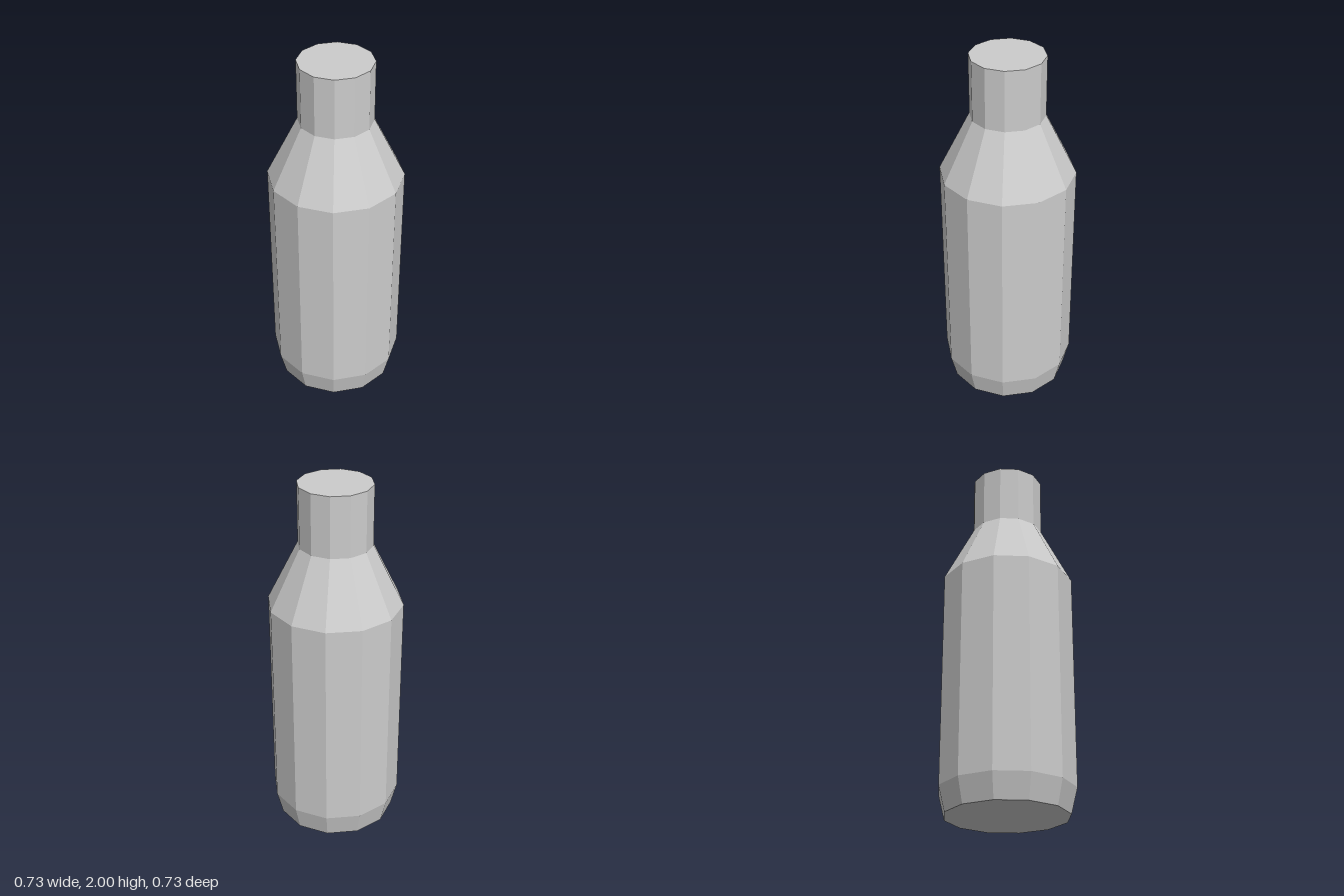
import * as THREE from 'three';

const SIDES = 12;

export function createModel() {
  const model = new THREE.Group();
  model.name = 'bottle';

  const grey = new THREE.MeshStandardMaterial({ color: 0xcccccc, flatShading: true });
  grey.name = 'grey';

  // Each part is a faceted ring profile of [radius, height], from bottom to top
  const addPart = (name, profile) => {
    const points = profile.map(([r, y]) => new THREE.Vector2(r, y));
    const mesh = new THREE.Mesh(new THREE.LatheGeometry(points, SIDES), grey);
    mesh.name = name;
    model.add(mesh);
  };

  // Closed bottom with a tapered foot
  addPart('base', [[0, 0], [0.333, 0], [0.367, 0.137]]);
  // Straight wall
  addPart('body', [[0.367, 0.137], [0.367, 1.333]]);
  // Sloping shoulder
  addPart('shoulder', [[0.367, 1.333], [0.2, 1.667]]);
  // Narrow neck with a flat closed top
  addPart('neck', [[0.2, 1.667], [0.2, 2], [0, 2]]);

  return model;
}
